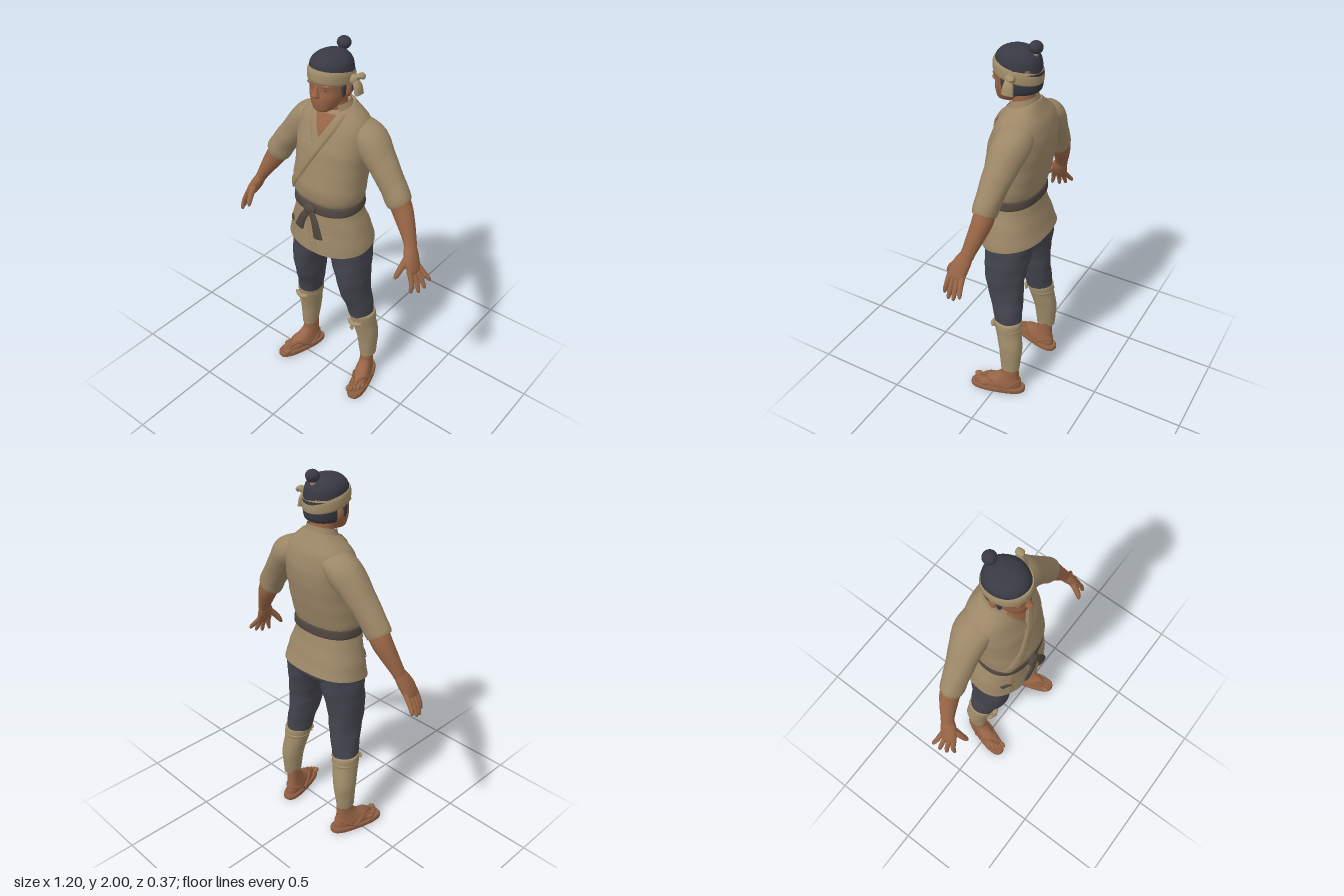
import * as THREE from 'three';

const paint = (name, color, side = THREE.FrontSide) => {
  const m = new THREE.MeshStandardMaterial({ color, side });
  m.name = name;
  return m;
};

// smooth interpolation through rows of numbers
function smoothRows(rows, sub) {
  const out = [];
  const at = (i) => rows[Math.max(0, Math.min(rows.length - 1, i))];
  for (let i = 0; i < rows.length - 1; i++) {
    for (let s = 0; s < sub; s++) {
      const t = s / sub;
      out.push(rows[i].map((_, k) => {
        const a = at(i - 1)[k], b = at(i)[k], c = at(i + 1)[k], d = at(i + 2)[k];
        return b + 0.5 * t * (c - a + t * (2 * a - 5 * b + 4 * c - d + t * (3 * (b - c) + d - a)));
      }));
    }
  }
  out.push(rows[rows.length - 1]);
  return out;
}

// skin over elliptical sections [x, y, z, radius across, radius in z, forward tilt]
function loft(name, mat, sections, { flat = false, seg = 28, sub = 4, e = 2, arc = null, wrinkle = 0 } = {}) {
  const rows = smoothRows(sections.map((r) => [...r, 0].slice(0, 6)), sub);
  const centre = (r) => new THREE.Vector3(r[0], r[1], r[2]);
  const pow = (v) => Math.sign(v) * Math.abs(v) ** (2 / e);
  const [a0, a1] = arc || [0, Math.PI * 2];
  const up = Math.sign(rows[rows.length - 1][1] - rows[0][1]);
  const rings = rows.map((r, i) => {
    const t = flat ? new THREE.Vector3(0, up, 0)
      : centre(rows[Math.min(i + 1, rows.length - 1)]).sub(centre(rows[Math.max(i - 1, 0)])).normalize();
    const u = new THREE.Vector3(0, 0, 1).addScaledVector(t, -t.z).normalize();
    const v = t.clone().cross(u);
    return Array.from({ length: seg + 1 }, (_, k) => {
      const a = a0 + (a1 - a0) * k / seg;
      const w = 1 + wrinkle * Math.sin(3 * a + r[1] * 42) * Math.sin(r[1] * 23 - 2 * a);
      const p = centre(r).addScaledVector(u, r[4] * w * pow(Math.cos(a))).addScaledVector(v, r[3] * w * pow(Math.sin(a)));
      p.y += r[5] * (p.z - r[2]);
      return p;
    });
  });
  const pos = [], idx = [];
  const strip = (list) => {
    const base = pos.length / 3, n = arc ? seg + 1 : seg;
    list.forEach((ring) => ring.slice(0, n).forEach((p) => pos.push(p.x, p.y, p.z)));
    for (let j = 0; j < list.length - 1; j++) for (let k = 0; k < seg; k++) {
      const a = base + j * n + k, b = base + j * n + (k + 1) % n;
      idx.push(a, b, b + n, a, b + n, a + n);
    }
  };
  const point = (r) => Array(seg + 1).fill(centre(r));
  strip(rings);
  if (!arc) {
    strip([point(rows[0]), rings[0]]);
    strip([rings[rings.length - 1], point(rows[rows.length - 1])]);
  }
  return meshFrom(name, mat, pos, idx);
}

function meshFrom(name, mat, pos, idx) {
  const g = new THREE.BufferGeometry();
  g.setAttribute('position', new THREE.Float32BufferAttribute(pos, 3));
  g.setIndex(idx);
  g.computeVertexNormals();
  const m = new THREE.Mesh(g, mat);
  m.name = name;
  return m;
}

// cloth strip laid on the front of a mesh; path rows are [x, y, width]
function drape(name, mat, target, path, lift) {
  const rows = smoothRows(path, 6), across = 6, pos = [], idx = [];
  const ray = new THREE.Raycaster();
  rows.forEach((r, i) => {
    const p = rows[Math.max(i - 1, 0)], q = rows[Math.min(i + 1, rows.length - 1)];
    const d = new THREE.Vector2(q[0] - p[0], q[1] - p[1]).normalize();
    for (let k = 0; k <= across; k++) {
      const o = (k / across - 0.5) * r[2], x = r[0] - d.y * o, y = r[1] + d.x * o;
      ray.set(new THREE.Vector3(x, y, 1), new THREE.Vector3(0, 0, -1));
      const hit = ray.intersectObject(target)[0];
      pos.push(x, y, (hit ? hit.point.z : 0) + (k % across ? lift : lift * 0.3));
    }
  });
  const n = across + 1;
  for (let i = 0; i < rows.length - 1; i++) for (let k = 0; k < across; k++) {
    const a = i * n + k;
    idx.push(a, a + 1, a + n, a + 1, a + n + 1, a + n);
  }
  // keep the front of the strip facing forward whichever way the path runs
  const down = path[path.length - 1][1] < path[0][1];
  if (down) idx.reverse();
  return meshFrom(name, mat, pos, down ? idx.reverse() : idx);
}

function ball(name, mat, [x, y, z], [sx, sy, sz]) {
  const m = new THREE.Mesh(new THREE.SphereGeometry(1, 18, 12), mat);
  m.name = name;
  m.position.set(x, y, z);
  m.scale.set(sx, sy, sz);
  return m;
}

function cord(name, mat, points, r) {
  const curve = new THREE.CatmullRomCurve3(points.map((p) => new THREE.Vector3(...p)));
  const m = new THREE.Mesh(new THREE.TubeGeometry(curve, 20, r, 8), mat);
  m.name = name;
  return m;
}

export function createModel() {
  const model = new THREE.Group();
  const add = (...parts) => model.add(...parts);
  const skin = paint('skin', 0x986546), lip = paint('lips', 0x85523b), hair = paint('hair', 0x383942);
  const robe = paint('robe cloth', 0x9c8767), lapel = paint('lapel cloth', 0x9a8464, THREE.DoubleSide);
  const band = paint('light cloth', 0xa28e6b), navy = paint('trouser cloth', 0x44444e);
  const dark = paint('belt cloth', 0x50463f, THREE.DoubleSide), straw = paint('sandal', 0x8e5d40);
  const bareChest = paint('chest skin', 0x986546, THREE.DoubleSide);

  // jacket body
  const torso = loft('jacket', robe, [
    [0, 0.955, -0.015, 0.235, 0.168, -0.17], [0, 1.05, -0.01, 0.215, 0.15, -0.05], [0, 1.15, 0, 0.181, 0.133],
    [0, 1.2, 0.002, 0.172, 0.128], [0, 1.24, 0.007, 0.186, 0.14], [0, 1.3, 0, 0.19, 0.15],
    [0, 1.4, -0.02, 0.19, 0.151], [0, 1.5, -0.037, 0.195, 0.148], [0, 1.58, -0.05, 0.19, 0.13],
    [0, 1.63, -0.054, 0.17, 0.112], [0, 1.665, -0.05, 0.13, 0.092, -0.1], [0, 1.695, -0.045, 0.088, 0.075, -0.3],
  ], { flat: true, seg: 56, e: 2.3, wrinkle: 0.013 });
  add(torso);
  add(loft('collar', lapel, [[0, 1.665, -0.045, 0.1, 0.08, -0.25], [0, 1.7, -0.042, 0.083, 0.07, -0.25],
    [0, 1.722, -0.04, 0.074, 0.066, -0.25]], { flat: true, arc: [0.75, Math.PI * 2 - 0.75] }));
  add(drape('bareChest', bareChest, torso, [[0, 1.67, 0.12], [0, 1.6, 0.075], [0, 1.525, 0.01]], 0.004));
  add(drape('rightLapel', lapel, torso, [[-0.078, 1.68, 0.035], [-0.058, 1.63, 0.04], [-0.005, 1.53, 0.045]], 0.009));
  add(drape('leftLapel', lapel, torso, [[0.08, 1.68, 0.035], [0.06, 1.62, 0.045], [0, 1.51, 0.048],
    [-0.08, 1.375, 0.048], [-0.16, 1.25, 0.045]], 0.013));
  add(drape('skirtOverlap', lapel, torso, [[-0.03, 1.17, 0.045], [-0.005, 1.05, 0.045], [0.018, 0.94, 0.045]], 0.01));
  add(drape('skirtSeam', lapel, torso, [[-0.12, 1.17, 0.03], [-0.138, 1.05, 0.03], [-0.15, 0.965, 0.03]], 0.006));
  add(drape('patch', dark, torso, [[-0.182, 1.034, 0.022], [-0.16, 1.042, 0.026], [-0.138, 1.042, 0.02]], 0.009));

  // belt with knot and tails
  add(loft('belt', dark, [[0, 1.172, 0.004, 0.18, 0.136, -0.08], [0, 1.18, 0.004, 0.187, 0.143, -0.08],
    [0, 1.215, 0.004, 0.184, 0.142, -0.08], [0, 1.224, 0.004, 0.175, 0.134, -0.08]], { flat: true, seg: 48, e: 2.3 }));
  add(ball('beltKnot', dark, [-0.005, 1.188, 0.152], [0.036, 0.03, 0.024]));
  add(loft('beltTailRight', dark, [[-0.005, 1.185, 0.16, 0.018, 0.01], [-0.035, 1.14, 0.17, 0.02, 0.009], [-0.066, 1.065, 0.166, 0.026, 0.008]]));
  add(loft('beltTailLeft', dark, [[0.005, 1.185, 0.16, 0.018, 0.01], [0.038, 1.13, 0.17, 0.022, 0.009], [0.057, 1.04, 0.168, 0.029, 0.008]]));

  // neck and head
  add(loft('neck', skin, [[0, 1.6, -0.05, 0.07, 0.06], [0, 1.68, -0.042, 0.06, 0.057], [0, 1.78, -0.03, 0.058, 0.06]], { flat: true }));
  add(loft('head', skin, [
    [0, 1.692, 0.055, 0.02, 0.025], [0, 1.702, 0.045, 0.046, 0.05], [0, 1.735, 0.022, 0.069, 0.08],
    [0, 1.77, 0.006, 0.083, 0.098], [0, 1.8, -0.005, 0.09, 0.104], [0, 1.84, -0.01, 0.095, 0.112],
    [0, 1.88, -0.012, 0.095, 0.11], [0, 1.92, -0.015, 0.08, 0.09]], { flat: true, seg: 36, e: 2.15 }));
  add(loft('nose', skin, [[0, 1.84, 0.09, 0.009, 0.01], [0, 1.805, 0.1, 0.011, 0.016], [0, 1.785, 0.105, 0.018, 0.024],
    [0, 1.774, 0.1, 0.018, 0.018], [0, 1.767, 0.095, 0.01, 0.01]], { flat: true, seg: 16 }));
  add(ball('mouth', lip, [0, 1.742, 0.095], [0.026, 0.005, 0.008]));
  for (const s of [-1, 1]) {
    add(ball('eye', hair, [s * 0.037, 1.812, 0.086], [0.013, 0.003, 0.006]));
    add(ball('brow', skin, [s * 0.038, 1.832, 0.086], [0.026, 0.01, 0.012]));
    add(ball('ear', skin, [s * 0.096, 1.795, -0.015], [0.011, 0.032, 0.02]));
  }

  // hair, topknot and headband
  add(loft('backHair', hair, [[0, 1.752, -0.014, 0.078, 0.09], [0, 1.765, -0.014, 0.091, 0.108], [0, 1.8, -0.014, 0.098, 0.116],
    [0, 1.86, -0.014, 0.1, 0.118]], { flat: true, arc: [1.75, Math.PI * 2 - 1.75] }));
  for (const s of [-1, 1]) add(ball('sideburn', hair, [s * 0.091, 1.815, 0.017], [0.01, 0.045, 0.014]));
  add(loft('hairCap', hair, [[0, 1.86, -0.014, 0.1, 0.115, 0.2], [0, 1.905, -0.016, 0.096, 0.108, 0.16],
    [0, 1.935, -0.018, 0.08, 0.09, 0.1], [0, 1.955, -0.02, 0.05, 0.058, 0.06], [0, 1.963, -0.02, 0.008, 0.01]],
  { flat: true, seg: 36, wrinkle: 0.02 }));
  add(loft('topknotStem', band, [[0, 1.915, -0.085, 0.02, 0.02], [0, 1.95, -0.097, 0.014, 0.014]], { seg: 14 }));
  add(ball('topknot', hair, [0, 1.969, -0.098], [0.034, 0.03, 0.033]));
  add(loft('headband', band, [[0, 1.82, -0.01, 0.099, 0.117, 0.18], [0, 1.83, -0.01, 0.104, 0.122, 0.18],
    [0, 1.865, -0.01, 0.105, 0.122, 0.18], [0, 1.884, -0.01, 0.1, 0.116, 0.18]], { flat: true, seg: 36 }));
  add(ball('headbandKnot', band, [0.113, 1.845, -0.03], [0.022, 0.026, 0.026]));
  add(loft('headbandTail', band, [[0.115, 1.85, -0.025, 0.014, 0.014], [0.133, 1.82, -0.03, 0.016, 0.026], [0.142, 1.78, -0.03, 0.013, 0.03]]));
  add(loft('headbandLoop', band, [[0.115, 1.845, -0.03, 0.01, 0.012], [0.138, 1.865, -0.045, 0.014, 0.022], [0.15, 1.855, -0.058, 0.008, 0.012]]));

  // seat of the trousers
  add(loft('trouserSeat', navy, [[0, 0.885, -0.025, 0.03, 0.05], [0, 0.905, -0.025, 0.11, 0.1], [0, 0.935, -0.022, 0.185, 0.132],
    [0, 0.97, -0.02, 0.218, 0.15], [0, 1.03, -0.015, 0.2, 0.135]], { flat: true, seg: 40, e: 2.3 }));

  for (const s of [-1, 1]) {
    const side = s > 0 ? 'left' : 'right';
    const put = (part, mat, rows, opts) => add(loft(side + part, mat, rows.map(([x, ...r]) => [s * x, ...r]), opts));

    // arm and sleeve
    put('Sleeve', robe, [[0.07, 1.6, -0.062, 0.045, 0.08], [0.125, 1.582, -0.068, 0.064, 0.09], [0.19, 1.54, -0.07, 0.083, 0.091], [0.265, 1.455, -0.06, 0.073, 0.076],
      [0.335, 1.365, -0.05, 0.067, 0.064], [0.373, 1.305, -0.045, 0.069, 0.06], [0.386, 1.285, -0.045, 0.064, 0.056]], { wrinkle: 0.025 });
    put('Forearm', skin, [[0.36, 1.33, -0.045, 0.054, 0.05], [0.398, 1.262, -0.045, 0.054, 0.05], [0.44, 1.19, -0.03, 0.043, 0.043],
      [0.474, 1.128, -0.014, 0.031, 0.036], [0.487, 1.1, -0.006, 0.028, 0.036]]);
    put('Palm', skin, [[0.48, 1.115, -0.01, 0.024, 0.03], [0.498, 1.075, 0.006, 0.029, 0.042], [0.518, 1.035, 0.02, 0.027, 0.047],
      [0.537, 0.998, 0.026, 0.02, 0.044], [0.543, 0.986, 0.027, 0.011, 0.034]]);
    [[0.06, 0.562, 0.903, 0.078], [0.037, 0.582, 0.894, 0.044], [0.014, 0.592, 0.904, 0.01], [-0.008, 0.594, 0.93, -0.026]].forEach(([z, x, y, tz]) => {
      put('Finger', skin, [[0.53, 1.012, z, 0.014, 0.014], [(0.545 + x) / 2, (0.99 + y) / 2 + 0.008, (z + tz) / 2, 0.0125, 0.0125],
        [x - 0.003, y + 0.012, tz, 0.01, 0.01], [x, y, tz, 0.004, 0.004]], { seg: 12 });
    });
    put('Thumb', skin, [[0.5, 1.07, 0.025, 0.018, 0.018], [0.494, 1.025, 0.07, 0.017, 0.017], [0.485, 0.985, 0.097, 0.013, 0.013], [0.48, 0.967, 0.105, 0.005, 0.005]], { seg: 12 });

    // leg
    put('TrouserLeg', navy, [[0.11, 1.0, -0.02, 0.108, 0.125], [0.114, 0.93, -0.02, 0.113, 0.127], [0.13, 0.85, -0.016, 0.1, 0.118],
      [0.147, 0.75, -0.012, 0.083, 0.109], [0.153, 0.65, -0.02, 0.074, 0.098], [0.17, 0.55, -0.04, 0.07, 0.08],
      [0.178, 0.485, -0.046, 0.066, 0.073]], { flat: true, seg: 36, wrinkle: 0.025 });
    put('Legging', band, [[0.18, 0.497, -0.048, 0.066, 0.068], [0.183, 0.485, -0.05, 0.072, 0.075], [0.19, 0.42, -0.058, 0.066, 0.07], [0.203, 0.33, -0.074, 0.059, 0.066],
      [0.208, 0.25, -0.077, 0.049, 0.06], [0.212, 0.175, -0.076, 0.041, 0.053]], { flat: true, wrinkle: 0.015 });
    put('LeggingTie', band, [[0.186, 0.44, -0.055, 0.066, 0.069], [0.186, 0.45, -0.055, 0.071, 0.075], [0.185, 0.46, -0.054, 0.068, 0.071]], { flat: true });
    put('TieKnot', band, [[0.145, 0.455, 0.022, 0.007, 0.007], [0.165, 0.45, 0.03, 0.014, 0.013], [0.185, 0.447, 0.034, 0.011, 0.013],
      [0.208, 0.452, 0.03, 0.014, 0.013], [0.228, 0.455, 0.02, 0.007, 0.007]], { seg: 14 });
    put('TieEnd', band, [[0.183, 0.45, 0.034, 0.009, 0.008], [0.177, 0.41, 0.038, 0.012, 0.006]], { seg: 12 });

    // foot with sandal, turned outward
    const foot = new THREE.Group();
    foot.name = side + 'Foot';
    foot.position.set(s * 0.225, 0, -0.005);
    foot.rotation.y = s * 0.28;
    foot.add(loft('sole', straw, [[0, 0, 0, 0.047, 0.148], [0, 0.006, 0, 0.053, 0.154], [0, 0.024, 0, 0.053, 0.154], [0, 0.03, 0, 0.048, 0.149]], { flat: true, seg: 36, e: 2.6, sub: 2 }));
    foot.add(loft('footSkin', skin, [[0, 0.028, -0.008, 0.043, 0.122], [0, 0.05, -0.014, 0.045, 0.118], [0, 0.075, -0.03, 0.041, 0.096],
      [0, 0.105, -0.055, 0.036, 0.065], [0, 0.14, -0.07, 0.034, 0.048], [0, 0.2, -0.072, 0.035, 0.045]], { flat: true, e: 2.3 }));
    for (let i = 0; i < 5; i++) {
      foot.add(ball('toe', skin, [s * (-0.034 + i * 0.0175), 0.043, 0.118 - i * i * 0.0028], [i ? 0.0095 : 0.014, 0.014, 0.024]));
    }
    for (const k of [-1, 1]) {
      foot.add(cord('strap', straw, [[-s * 0.016, 0.045, 0.11], [k * 0.022 - s * 0.006, 0.073, 0.055], [k * 0.043, 0.058, 0.01], [k * 0.05, 0.025, -0.04]], 0.009));
    }
    foot.add(cord('heelStrap', straw, [[-0.05, 0.028, -0.03], [-0.043, 0.06, -0.08], [0, 0.075, -0.127], [0.043, 0.06, -0.08], [0.05, 0.028, -0.03]], 0.006));
    add(foot);
  }
  return model;
}
